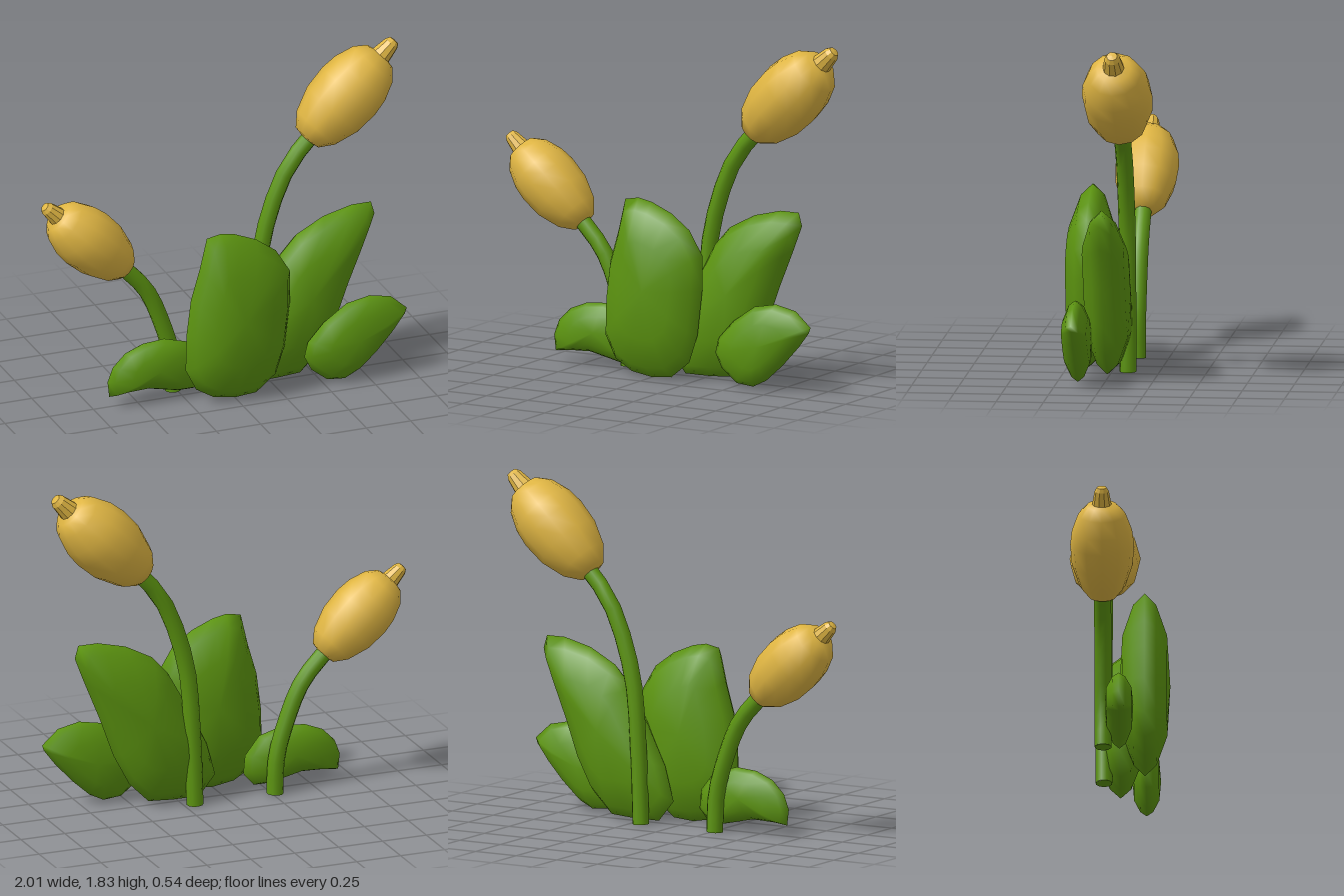
import * as THREE from 'three';

const green = new THREE.MeshStandardMaterial({ color: 0x5c9410 });
green.name = 'leafGreen';
const yellow = new THREE.MeshStandardMaterial({ color: 0xdfb542 });
yellow.name = 'budYellow';

function mesh(name, geometry, material) {
  const m = new THREE.Mesh(geometry, material);
  m.name = name;
  return m;
}

// Cushion-shaped leaf: an outline shrunk toward its middle as it bulges in z.
function leafGeometry(outline, z, depth) {
  const pts = outline.map(([x, y]) => new THREE.Vector2(x, y));
  if (THREE.ShapeUtils.isClockWise(pts)) pts.reverse();
  const n = pts.length;
  const box = new THREE.Box2().setFromPoints(pts);
  const mid = box.getCenter(new THREE.Vector2());
  const rings = [[0.55, -0.88], [0.88, -0.45], [1, 0], [0.88, 0.45], [0.55, 0.88]];
  const pos = [];
  const idx = [];
  for (const [s, d] of rings) {
    for (const p of pts) {
      pos.push(mid.x + (p.x - mid.x) * s, mid.y + (p.y - mid.y) * s, z + d * depth);
    }
  }
  const back = rings.length * n;
  const front = back + 1;
  pos.push(mid.x, mid.y, z - depth, mid.x, mid.y, z + depth);
  for (let i = 0; i < n; i++) {
    const j = (i + 1) % n;
    for (let r = 0; r < rings.length - 1; r++) {
      const a = r * n + i, b = r * n + j;
      idx.push(a, b, b + n, a, b + n, a + n);
    }
    const last = (rings.length - 1) * n;
    idx.push(back, j, i, front, last + i, last + j);
  }
  const g = new THREE.BufferGeometry();
  g.setAttribute('position', new THREE.Float32BufferAttribute(pos, 3));
  g.setIndex(idx);
  g.computeVertexNormals();
  return g;
}

const FLOWER_Z = -0.085;
const STEM_R = 0.045;

// Bent stem with a flat foot.
function stem(name, path) {
  const g = new THREE.Group();
  g.name = name;
  const curve = new THREE.CatmullRomCurve3(path.map(([x, y]) => new THREE.Vector3(x, y, FLOWER_Z)));
  g.add(mesh('stalk', new THREE.TubeGeometry(curve, 10, STEM_R, 10), green));
  const foot = mesh('stalkFoot', new THREE.CircleGeometry(STEM_R, 10), green);
  foot.rotation.x = Math.PI / 2;
  foot.position.set(path[0][0], 0.001, FLOWER_Z);
  g.add(foot);
  return g;
}

function lathe(profile, sides) {
  return new THREE.LatheGeometry(profile.map(([r, y]) => new THREE.Vector2(r, y)), sides);
}

// Closed bud with a small faceted tip, leaning sideways by the given angle.
function bud(name, x, y, lean, scale) {
  const g = new THREE.Group();
  g.name = name;
  g.add(mesh('budBody', lathe([
    [0, -0.305], [0.08, -0.29], [0.135, -0.22], [0.178, -0.09], [0.187, 0.04],
    [0.176, 0.13], [0.14, 0.23], [0.09, 0.285], [0, 0.305],
  ], 12), yellow));
  const tip = lathe([[0.062, 0.26], [0.042, 0.375], [0.028, 0.398], [0, 0.402]], 10).toNonIndexed();
  tip.computeVertexNormals();
  g.add(mesh('budTip', tip, yellow));
  g.position.set(x, y, FLOWER_Z);
  g.rotation.z = lean;
  g.scale.setScalar(scale);
  return g;
}

export function createModel() {
  const model = new THREE.Group();
  model.name = 'buddingPlant';

  // Leaves: name, middle z, half thickness, outline
  const leaves = [
    ['centerLeaf', 0.132, 0.134, [
      [-0.16, 0.94], [-0.08, 0.955], [0, 0.94], [0.12, 0.89], [0.23, 0.81], [0.31, 0.68],
      [0.31, 0.5], [0.28, 0.25], [0.23, 0.1], [0.12, 0.01], [0, 0], [-0.12, 0.02],
      [-0.22, 0.08], [-0.28, 0.2], [-0.275, 0.4], [-0.25, 0.6], [-0.2, 0.77]]],
    ['leftTallLeaf', 0, 0.125, [
      [0.82, 0.94], [0.84, 0.87], [0.79, 0.74], [0.7, 0.52], [0.62, 0.3], [0.53, 0.13],
      [0.42, 0.02], [0.28, 0.01], [0.13, 0.01], [0.04, 0.12], [0.09, 0.3], [0.2, 0.52],
      [0.31, 0.72], [0.4, 0.82], [0.55, 0.9], [0.71, 0.94]]],
    ['leftSmallLeaf', 0.135, 0.075, [
      [0.97, 0.36], [0.96, 0.33], [0.9, 0.25], [0.8, 0.14], [0.7, 0.05], [0.62, 0.01],
      [0.52, 0.02], [0.43, 0.09], [0.39, 0.17], [0.41, 0.25], [0.5, 0.35], [0.63, 0.44],
      [0.76, 0.465], [0.88, 0.44]]],
    ['rightSmallLeaf', 0, 0.075, [
      [-0.66, 0.055], [-0.67, 0.14], [-0.64, 0.22], [-0.57, 0.29], [-0.47, 0.33],
      [-0.35, 0.34], [-0.21, 0.3], [-0.13, 0.2], [-0.12, 0.1], [-0.18, 0.03],
      [-0.27, 0.03], [-0.45, 0.07], [-0.58, 0.065]]],
  ];
  for (const [name, z, depth, outline] of leaves) {
    model.add(mesh(name, leafGeometry(outline, z, depth), green));
  }

  // Flowers
  model.add(stem('leftStem', [[0.19, 0], [0.205, 0.4], [0.245, 0.8], [0.38, 1.17], [0.54, 1.36]]));
  model.add(bud('leftBud', 0.7, 1.53, -0.8, 1));
  model.add(stem('rightStem', [[-0.265, 0], [-0.275, 0.2], [-0.325, 0.38], [-0.42, 0.6], [-0.58, 0.78]]));
  model.add(bud('rightBud', -0.73, 0.925, 0.82, 0.9));

  return model;
}
